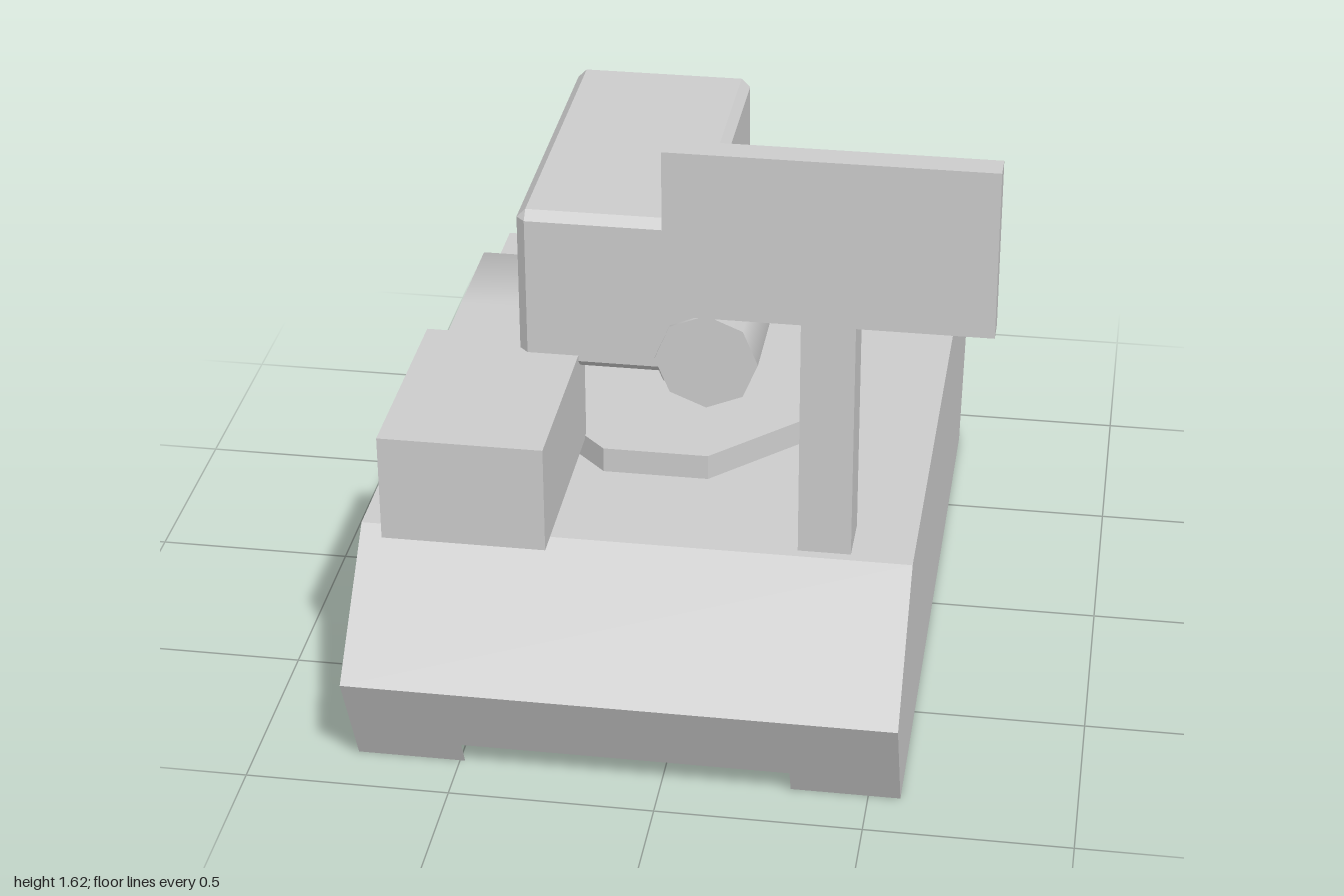
import * as THREE from 'three';
import { ConvexGeometry } from 'three/addons/geometries/ConvexGeometry.js';

export function createModel() {
  const grey = new THREE.MeshStandardMaterial({ color: 0xcccccc, side: THREE.DoubleSide });
  grey.name = 'plain grey';

  const root = new THREE.Group();
  root.name = 'launcherVehicle';

  const add = (parent, name, geometry, x = 0, y = 0, z = 0) => {
    const mesh = new THREE.Mesh(geometry, grey);
    mesh.name = name;
    mesh.position.set(x, y, z);
    parent.add(mesh);
    return mesh;
  };

  // Box given by its extents
  const addBox = (name, [x0, x1], [y0, y1], [z0, z1]) =>
    add(root, name, new THREE.BoxGeometry(x1 - x0, y1 - y0, z1 - z0),
      (x0 + x1) / 2, (y0 + y1) / 2, (z0 + z1) / 2);

  // Flat-shaded quads, corners counter-clockwise
  const quads = (list) => {
    const pos = [];
    for (const [a, b, c, d] of list) pos.push(...a, ...b, ...c, ...a, ...c, ...d);
    const g = new THREE.BufferGeometry();
    g.setAttribute('position', new THREE.Float32BufferAttribute(pos, 3));
    g.computeVertexNormals();
    return g;
  };
  const outline = (pts) => pts.map(([x, y]) => new THREE.Vector2(x, y));

  // ---- Hull: hollow shell, open underneath ----
  const hull = new THREE.Group();
  hull.name = 'hull';
  hull.position.x = -0.0875;
  root.add(hull);
  const W = 0.665, DECK = 0.57, MID = 0.285, NOTCH = 0.4, EDGE = -0.42;
  const lowerZ = (y) => 0.865 + 0.135 * y / MID;

  // Hexagonal side walls
  const sideShape = new THREE.Shape(outline([
    [-0.865, 0], [0.865, 0], [1, MID], [0.72, DECK], [-0.72, DECK], [-1, MID]]));
  for (const s of [1, -1]) {
    add(hull, s > 0 ? 'leftWall' : 'rightWall',
      new THREE.ShapeGeometry(sideShape).rotateY(s * Math.PI / 2), s * W);
  }

  // Notched lower plates at front and back
  const rect = (x0, x1, y0, y1) => [
    [x0, y0, lowerZ(y0)], [x1, y0, lowerZ(y0)], [x1, y1, lowerZ(y1)], [x0, y1, lowerZ(y1)]];
  const lowerPlate = quads([
    rect(-W, W, 0.07, MID), rect(-W, -NOTCH, 0, 0.07), rect(NOTCH, W, 0, 0.07)]);
  add(hull, 'frontLowerPlate', lowerPlate);
  add(hull, 'backLowerPlate', lowerPlate).rotation.y = Math.PI;

  // Front slope
  add(hull, 'frontSlope', quads([
    [[-W, MID, 1], [W, MID, 1], [W, DECK, 0.72], [-W, DECK, 0.72]]]));

  // Back slope running smoothly into the rear deck
  const rear = new THREE.BufferGeometry();
  const rows = [[DECK, EDGE], [DECK, -0.72], [MID, -1]];
  rear.setAttribute('position', new THREE.Float32BufferAttribute(
    rows.flatMap(([y, z]) => [-W, y, z, W, y, z]), 3));
  rear.setIndex([0, 1, 3, 0, 3, 2, 2, 3, 5, 2, 5, 4]);
  rear.computeVertexNormals();
  add(hull, 'backSlope', rear);

  // Deck with an opening below the turntable
  const ring = [
    [0.4, -0.13], [0.4, 0.13], [0.13, 0.4], [-0.13, 0.4],
    [-0.4, 0.13], [-0.4, -0.13], [-0.13, -0.4], [0.13, -0.4]];
  const deck = new THREE.Shape(outline([[-W, -0.72], [W, -0.72], [W, -EDGE], [-W, -EDGE]]));
  deck.holes.push(new THREE.Path(outline(ring)));
  add(hull, 'deck', new THREE.ShapeGeometry(deck).rotateX(-Math.PI / 2), 0, DECK);

  // Turntable: eight-sided cap and rim
  const TOP = 0.635;
  add(hull, 'turntableTop',
    new THREE.ShapeGeometry(new THREE.Shape(outline(ring))).rotateX(-Math.PI / 2), 0, TOP);
  add(hull, 'turntableRim', quads(ring.map(([x, y], i) => {
    const [u, v] = ring[(i + 1) % ring.length];
    return [[x, DECK, -y], [u, DECK, -v], [u, TOP, -v], [x, TOP, -y]];
  })));

  // Wedge blocks on the back slope
  const wedge = new THREE.ExtrudeGeometry(
    new THREE.Shape(outline([[0.735, 0.555], [0.887, 0.4], [0.877, 0.555]])),
    { depth: 0.148, bevelEnabled: false }).rotateY(Math.PI / 2).translate(-0.074, 0, 0);
  for (const s of [1, -1]) add(hull, s > 0 ? 'leftWedge' : 'rightWedge', wedge, s * 0.55);

  // ---- Equipment on the deck ----
  addBox('equipmentCrate', [-0.665, -0.273], [0.627, 0.897], [0.33, 0.87]);
  addBox('mastPost', [0.307, 0.433], [0.6, 1.36], [0.61, 0.742]);
  addBox('mastPanel', [-0.01, 0.748], [1.208, 1.62], [0.685, 0.752]);

  // ---- Launcher ----
  add(root, 'pedestal', new THREE.CylinderGeometry(0.057, 0.057, 0.24, 8), -0.085, 0.735);
  add(root, 'pedestalCap', new THREE.CylinderGeometry(0.07, 0.07, 0.03, 8), -0.085, 0.855);

  // Chamfered launcher box
  const half = [0.225, 0.207, 0.433], c = 0.022;
  const corners = [];
  for (const sx of [1, -1]) for (const sy of [1, -1]) for (const sz of [1, -1]) {
    for (let axis = 0; axis < 3; axis++) {
      const p = half.map((h, i) => (i === axis ? h : h - c));
      corners.push(new THREE.Vector3(sx * p[0], sy * p[1], sz * p[2]));
    }
  }
  add(root, 'launcherBox', new ConvexGeometry(corners), -0.195, 1.067, -0.022);

  // Four tube covers on the back face
  const cover = new THREE.CylinderGeometry(0.065, 0.065, 0.035, 10).rotateX(Math.PI / 2);
  for (const x of [-0.295, -0.1]) for (const y of [0.98, 1.155]) {
    add(root, 'tubeCover', cover, x, y, -0.463);
  }

  // Sight tube along the launcher's side
  add(root, 'sightTube',
    new THREE.CylinderGeometry(0.126, 0.126, 0.838, 8).rotateX(Math.PI / 2), 0.041, 0.909, 0);

  return root;
}
